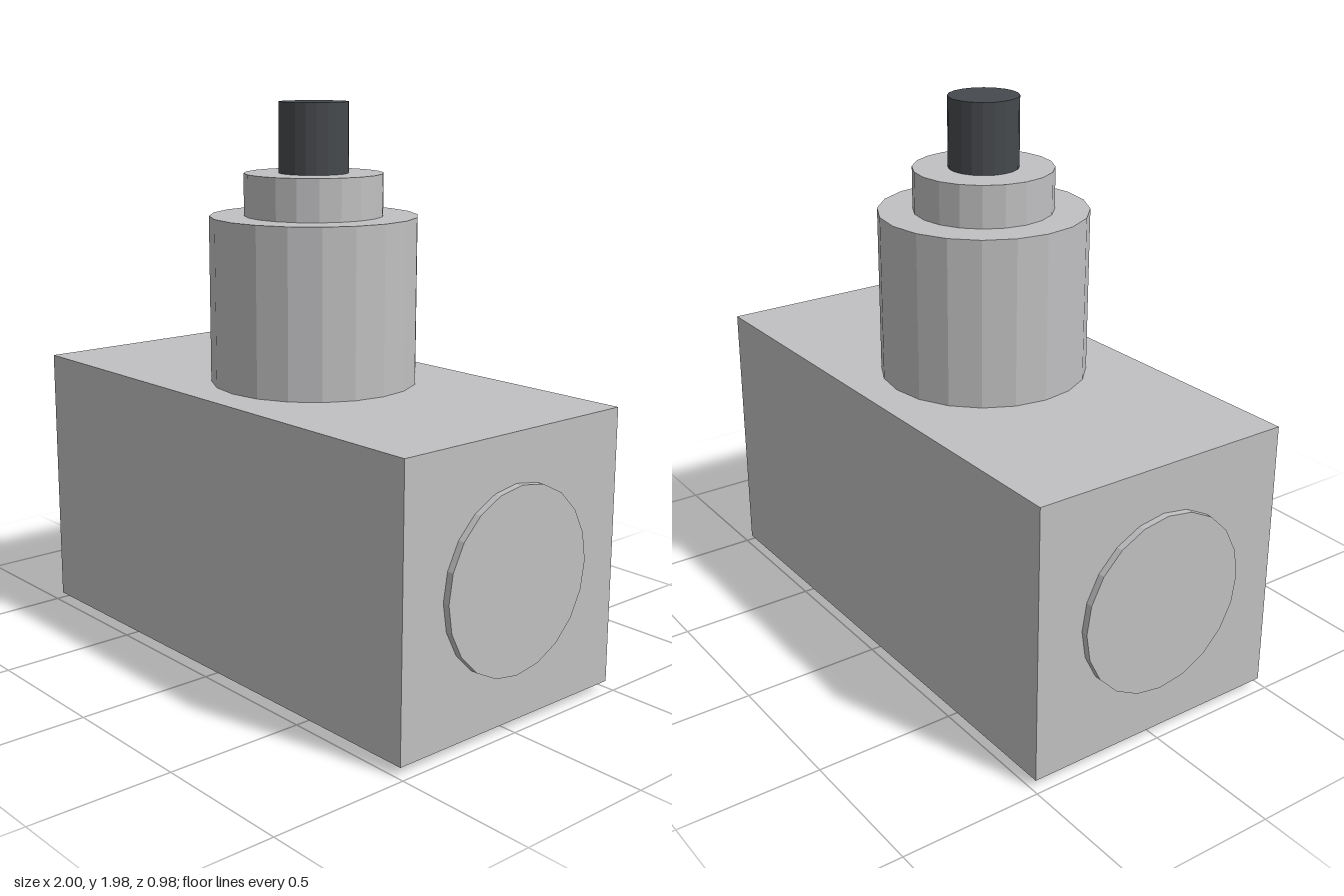
import * as THREE from 'three';

export function createModel() {
  const group = new THREE.Group();
  const steel = new THREE.MeshStandardMaterial({ name: 'light grey metal', color: 0xc0c0c2, flatShading: true });
  const dark = new THREE.MeshStandardMaterial({ name: 'dark grey', color: 0x46494d, flatShading: true });

  const add = (name, geometry, material) => {
    const mesh = new THREE.Mesh(geometry, material);
    mesh.name = name;
    group.add(mesh);
    return mesh;
  };

  // Upright cylinder between two heights
  const post = (name, radius, y0, y1, material) => {
    add(name, new THREE.CylinderGeometry(radius, radius, y1 - y0, 20), material).position.y = (y0 + y1) / 2;
  };

  // Block body
  add('body', new THREE.BoxGeometry(1.952, 0.97, 0.976), steel).position.y = 0.515;

  // Stepped neck, stem and bottom port
  post('bottomPort', 0.22, 0, 0.03, steel);
  post('collar', 0.366, 1, 1.587, steel);
  post('gland', 0.244, 1.587, 1.734, steel);
  post('stem', 0.122, 1.734, 1.978, dark);

  // Round ports on both ends
  for (const side of [1, -1]) {
    const port = add(side > 0 ? 'leftPort' : 'rightPort', new THREE.CylinderGeometry(0.317, 0.317, 0.024, 20), steel);
    port.rotation.z = -side * Math.PI / 2;
    port.position.set(side * 0.988, 0.515, 0);
  }

  return group;
}
